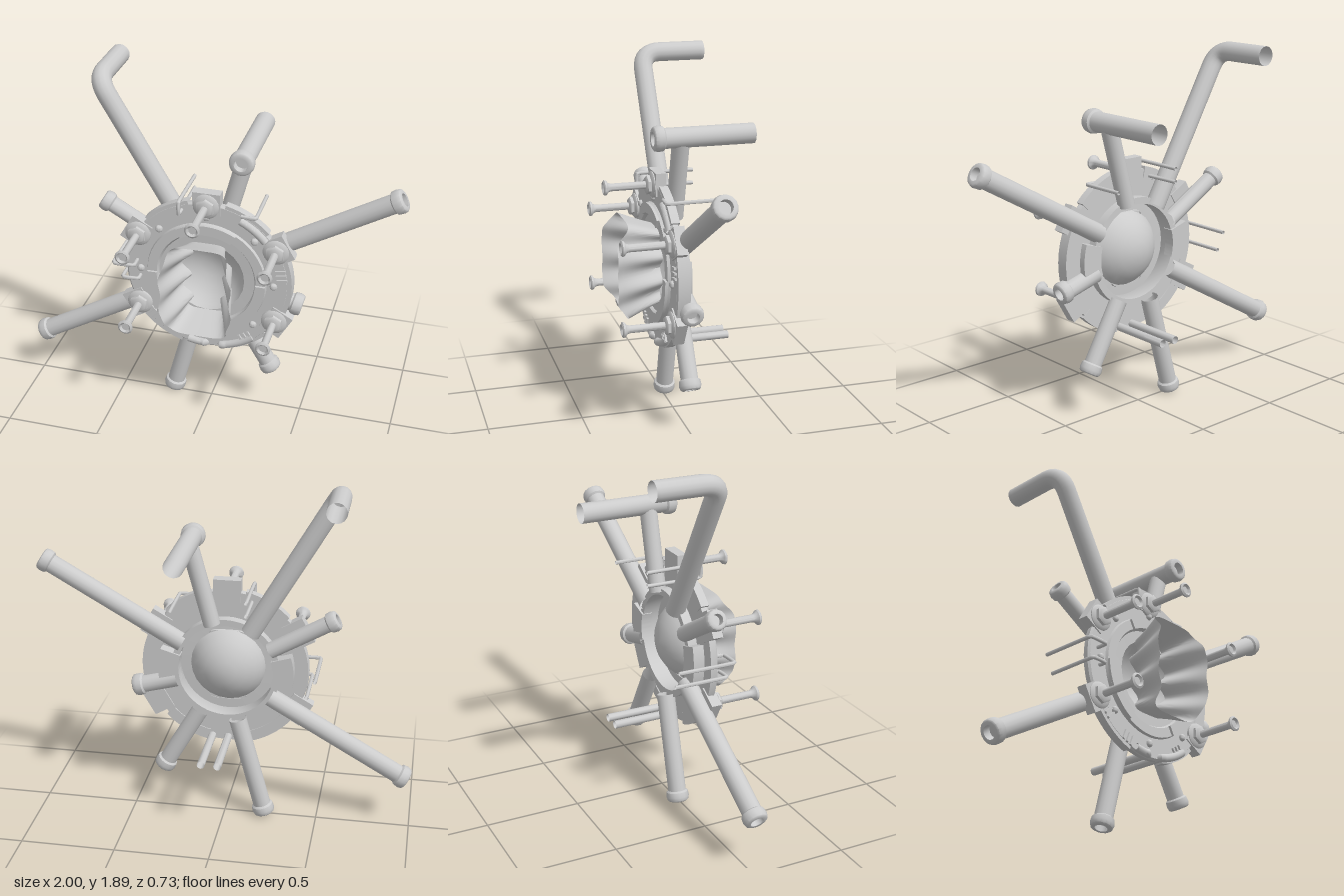
import * as THREE from 'three';
import { toCreasedNormals } from 'three/addons/utils/BufferGeometryUtils.js';
import { ParametricGeometry } from 'three/addons/geometries/ParametricGeometry.js';

const mat = new THREE.MeshStandardMaterial({ color: 0xcccccc, side: THREE.DoubleSide });
const rad = THREE.MathUtils.degToRad;

function add(parent, name, geo, x = 0, y = 0, z = 0) {
  const m = new THREE.Mesh(toCreasedNormals(geo, 0.7), mat);
  m.name = name;
  m.position.set(x, y, z);
  parent.add(m);
  return m;
}

// Lathe from [radius, height] pairs, around y
const lathe = (pts, n = 24) => new THREE.LatheGeometry(pts.map(p => new THREE.Vector2(p[0], p[1])), n);
// The same, turned so that its axis is z
const latheZ = (pts, n) => lathe(pts, n).rotateX(Math.PI / 2);

// Flat ring segment between two radii, centred on an angle in degrees
function arcPlate(r0, r1, angle, half, z0, z1) {
  const a = rad(angle - half), b = rad(angle + half);
  const s = new THREE.Shape();
  s.absarc(0, 0, r1, a, b, false);
  s.absarc(0, 0, r0, b, a, true);
  return new THREE.ExtrudeGeometry(s, { depth: z1 - z0, bevelEnabled: false, curveSegments: 10 }).translate(0, 0, z0);
}

// Holder whose +y points outward from the hub at an angle in degrees
function spoke(parent, name, angle, z = 0) {
  const g = new THREE.Group();
  g.name = name;
  g.rotation.z = rad(angle - 90);
  g.position.z = z;
  parent.add(g);
  return g;
}

// Pipe with a hollow end collar
const pipeProfile = (r, start, end) => [
  [r, start], [r, end - 0.058], [r + 0.01, end - 0.05], [r + 0.013, end - 0.025],
  [r + 0.008, end - 0.006], [r, end], [r * 0.68, end], [r * 0.68, end - 0.04], [0, end - 0.04]];

const tube = (pts, r, n = 40, sides = 10) =>
  new THREE.TubeGeometry(new THREE.CatmullRomCurve3(pts.map(p => new THREE.Vector3(...p)), false, 'catmullrom', 0.1), n, r, sides);

export function createModel() {
  const model = new THREE.Group();
  const hub = new THREE.Group();
  hub.name = 'hub';
  hub.position.y = 0.84;
  model.add(hub);

  // Main ring plate with stepped inner collar
  add(hub, 'ringPlate', latheZ([[0.29, 0.06], [0.43, 0.06], [0.435, 0.09], [0.425, 0.1], [0.32, 0.1],
    [0.315, 0.115], [0.265, 0.115], [0.255, 0.1], [0.255, 0.01], [0.29, 0.01], [0.29, 0.06]], 48));
  for (const a of [90, 210, 330]) add(hub, 'collarPanel', arcPlate(0.262, 0.315, a, 30, 0.1, 0.128));
  for (const a of [60, 120, 235, 300]) add(hub, 'rimPanel', arcPlate(0.385, 0.445, a, 17, 0.055, 0.099));
  add(hub, 'sidePanel', arcPlate(0.36, 0.45, 2, 22, 0.035, 0.099));
  for (const a of [0, 180]) add(hub, 'backPanel', arcPlate(0.25, 0.36, a, 17, 0.0, 0.06));

  // Rounded cup closing the rear of the opening, with a flat flange
  add(hub, 'rearCup', latheZ([[0, -0.02], [0.06, -0.012], [0.11, 0.008], [0.155, 0.04], [0.185, 0.075], [0.2, 0.098], [0.258, 0.1]], 24));

  // Flared mouth with corrugated sides that stand proud of the top and bottom lips
  add(hub, 'flaredMouth', new ParametricGeometry((u, v, out) => {
    const a = u * Math.PI * 2, c = Math.cos(a), s = Math.sin(a);
    const y = Math.sign(s) * Math.abs(s) ** 0.9 * (0.198 + 0.06 * v);
    const wave = 0.028 * Math.cos(y * 2 * Math.PI / (0.13 + 0.04 * v)) * Math.min(1, Math.abs(c) * 1.6) * (1 - 0.75 * v);
    const x = Math.sign(c) * (Math.abs(c) ** 0.33 * (0.108 + 0.077 * v) - wave);
    const rim = 0.335 - 0.065 * THREE.MathUtils.smoothstep(Math.abs(y), 0.15, 0.25);
    out.set(x, y, THREE.MathUtils.lerp(0.09, rim, v));
  }, 112, 8));

  // Rivets around the ring
  for (let i = 0; i < 8; i++) {
    const a = i * Math.PI / 4;
    add(hub, 'rivet', new THREE.SphereGeometry(0.02, 12, 8), 0.355 * Math.cos(a), 0.355 * Math.sin(a), 0.1);
  }

  // Lugs with washer, nut and long flared bolt
  for (const a of [30, 90, 150, 210, 330]) {
    const g = spoke(hub, 'boltLug', a);
    add(g, 'lug', new THREE.BoxGeometry(0.145, 0.12, 0.055), 0, 0.432, 0.08);
    add(g, 'washer', latheZ([[0, 0.1], [0.068, 0.1], [0.068, 0.112], [0.055, 0.122], [0, 0.122]], 20), 0, 0.42);
    add(g, 'nut', latheZ([[0, 0.12], [0.05, 0.12], [0.05, 0.138], [0.04, 0.145], [0, 0.145]], 6), 0, 0.42);
    add(g, 'bolt', latheZ([[0.02, 0.1], [0.02, 0.325], [0.025, 0.34], [0.038, 0.35], [0.04, 0.36],
      [0.03, 0.366], [0.02, 0.355], [0, 0.355]], 14), 0, 0.42);
  }

  // Vent bars
  for (const a of [10, 247, 302, 222]) {
    const g = spoke(hub, 'ventBars', a);
    for (let i = -1; i <= 1; i++) add(g, 'ventBar', new THREE.BoxGeometry(0.012, 0.055, 0.014), i * 0.027, 0.4, 0.104);
  }

  // Straight radiating pipes: angle, length, radius, depth
  for (const [a, len, r, z] of [[30, 1.125, 0.05, 0.035], [210, 1.125, 0.05, 0.025], [255, 0.85, 0.047, -0.012],
    [300, 0.68, 0.046, 0.0], [150, 0.67, 0.042, 0.01], [345, 0.515, 0.047, 0.035]]) {
    const g = spoke(hub, 'radialPipe', a, z);
    add(g, 'pipe', lathe(pipeProfile(r, 0.27, len), 14));
  }

  // Pipe carrying a cross pipe that runs backward
  const branch = spoke(hub, 'teePipe', 75, 0.01);
  add(branch, 'stem', new THREE.CylinderGeometry(0.045, 0.045, 0.45, 14, 1, true), 0, 0.495);
  add(branch, 'crossPipe', latheZ(pipeProfile(0.052, -0.375, 0.145), 20), 0, 0.724);

  // Long pipe bent to the rear
  const bent = spoke(hub, 'bentPipe', 120, 0.012);
  const path = new THREE.CurvePath();
  const v = (y, z) => new THREE.Vector3(0, y, z);
  path.add(new THREE.LineCurve3(v(0.26, 0), v(1.06, 0)));
  path.add(new THREE.QuadraticBezierCurve3(v(1.06, 0), v(1.157, 0), v(1.157, -0.1)));
  path.add(new THREE.LineCurve3(v(1.157, -0.1), v(1.157, -0.343)));
  add(bent, 'pipe', new THREE.TubeGeometry(path, 64, 0.051, 14));

  // Thin wire staples: a front bar with legs running to the rear
  const wire = (...pts) => add(hub, 'wireStaple', tube(pts, 0.01));
  wire([-0.13, 0.38, -0.145], [-0.13, 0.38, 0.15], [-0.13, 0.45, 0.15], [-0.13, 0.45, -0.145]);
  wire([-0.485, 0.045, -0.145], [-0.485, 0.045, 0.16], [-0.375, 0.045, 0.16], [-0.375, 0.045, 0.08]);
  wire([-0.445, -0.045, -0.145], [-0.445, -0.045, 0.14], [-0.36, -0.045, 0.14], [-0.36, -0.045, 0.08]);
  wire([0.255, 0.385, -0.145], [0.255, 0.385, 0.1], [0.18, 0.385, 0.1]);

  // Curved rails following the rim, two of them with a leg to the rear
  const rail = (r, from, to, leg) => {
    const pts = leg ? [[r * Math.cos(rad(from)), r * Math.sin(rad(from)), -0.28]] : [];
    for (let i = 0; i <= 6; i++) {
      const a = rad(from + (to - from) * i / 6);
      pts.push([r * Math.cos(a), r * Math.sin(a), 0.1]);
    }
    add(hub, 'rimRail', tube(pts, 0.021, 64, 12));
  };
  rail(0.418, 281, 307, true);
  rail(0.412, 269, 256, true);
  rail(0.4, 64, 40, false);

  return model;
}
